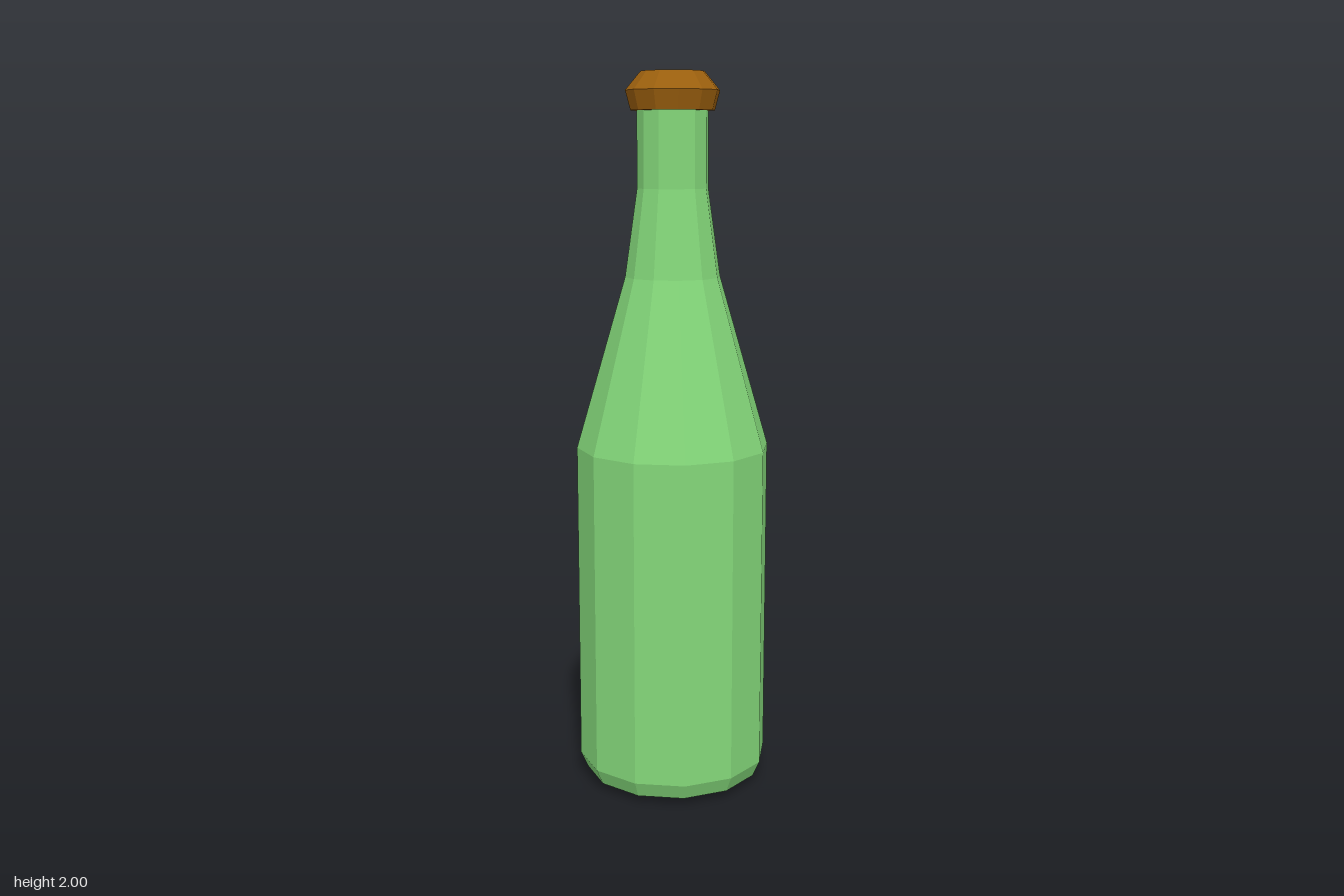
import * as THREE from 'three';

const SIDES = 12;

// Faceted solid of revolution from [radius, height] pairs, bottom to top
function turned(name, color, profile) {
  const points = profile.map(([r, y]) => new THREE.Vector2(r, y));
  const material = new THREE.MeshStandardMaterial({ color, flatShading: true });
  const mesh = new THREE.Mesh(new THREE.LatheGeometry(points, SIDES), material);
  mesh.name = name;
  return mesh;
}

export function createModel() {
  const group = new THREE.Group();
  group.name = 'bottle';

  // Glass: bevelled base, straight body, sloping shoulder, narrow neck
  group.add(turned('glassBody', 0x84d87a, [
    [0, 0], [0.2, 0], [0.25, 0.02], [0.27, 0.065], [0.27, 0.975],
    [0.132, 1.45], [0.098, 1.69], [0.098, 1.9], [0, 1.9],
  ]));

  // Stopper: flares out, then tapers to a flat top
  group.add(turned('stopper', 0x9c600e, [
    [0, 1.897], [0.115, 1.897], [0.129, 1.95], [0.087, 2], [0, 2],
  ]));

  return group;
}
